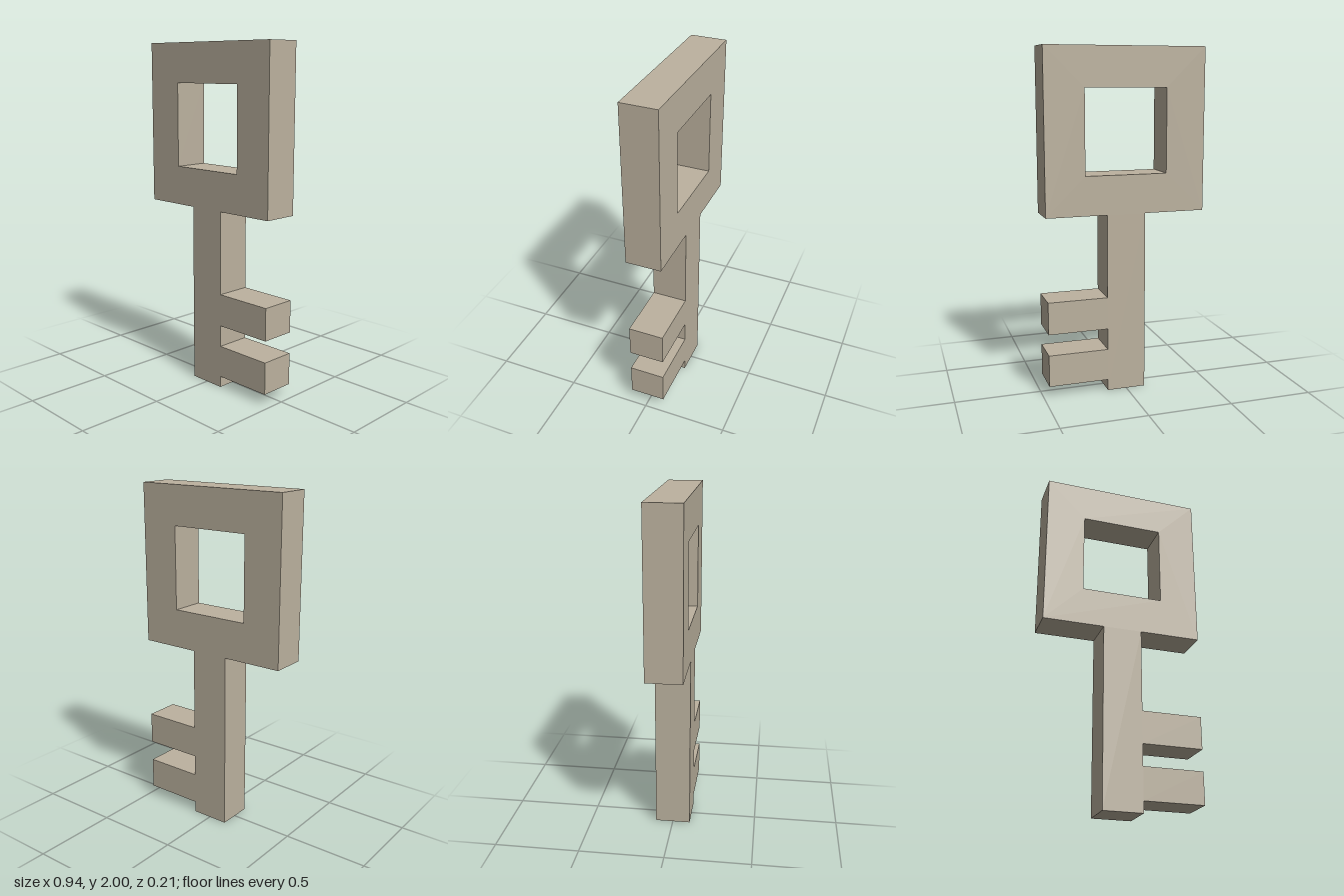
import * as THREE from 'three';

const DEPTH = 0.208;

// Axis-aligned rectangle traced as a shape or a hole
function rect(target, x0, y0, x1, y1) {
  target.moveTo(x0, y0);
  target.lineTo(x1, y0);
  target.lineTo(x1, y1);
  target.lineTo(x0, y1);
  target.closePath();
  return target;
}

export function createModel() {
  const key = new THREE.Group();
  key.name = 'key';
  const metal = new THREE.MeshStandardMaterial({ color: 0xbcb29f });
  metal.name = 'dull brass';

  const add = (name, geometry) => {
    const mesh = new THREE.Mesh(geometry, metal);
    mesh.name = name;
    key.add(mesh);
  };

  const bar = (name, x0, y0, x1, y1) => {
    const geometry = new THREE.BoxGeometry(x1 - x0, y1 - y0, DEPTH);
    geometry.translate((x0 + x1) / 2, (y0 + y1) / 2, 0);
    add(name, geometry);
  };

  // Square bow with a square window
  const bowShape = rect(new THREE.Shape(), -0.472, 1.057, 0.472, 2);
  bowShape.holes.push(rect(new THREE.Path(), -0.241, 1.284, 0.241, 1.771));
  const bow = new THREE.ExtrudeGeometry(bowShape, { depth: DEPTH, bevelEnabled: false });
  bow.translate(0, 0, -DEPTH / 2);
  add('bow', bow);

  // Shaft below the bow
  bar('shaft', -0.114, 0, 0.114, 1.057);

  // Two teeth on the left side of the shaft
  bar('upperTooth', 0.114, 0.38, 0.467, 0.57);
  bar('lowerTooth', 0.114, 0.066, 0.467, 0.254);

  return key;
}
